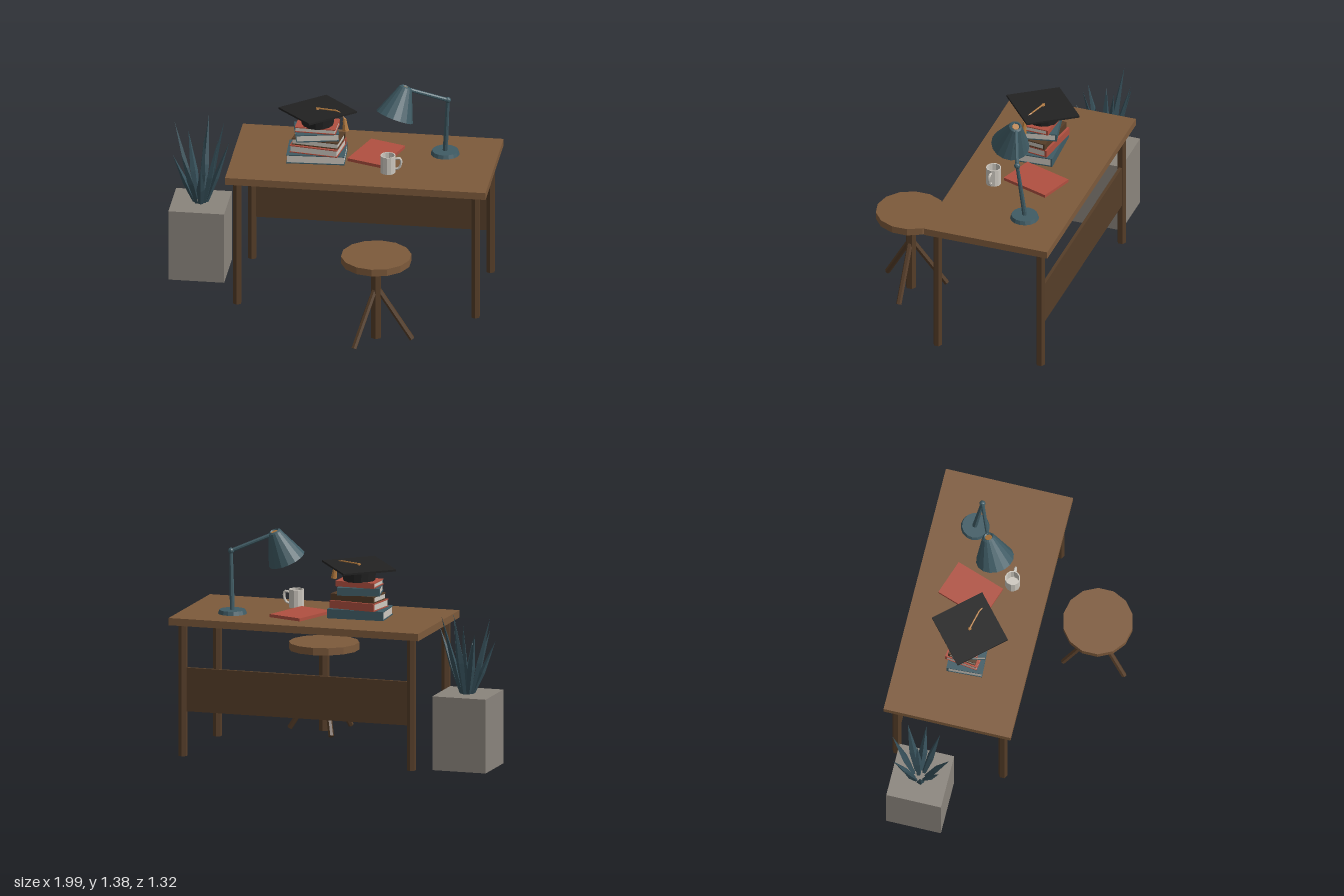
import * as THREE from 'three';

const V = (x, y, z) => new THREE.Vector3(x, y, z);
const UP = V(0, 1, 0);

export function createModel() {
  const root = new THREE.Group();
  const mat = (name, color) => {
    const m = new THREE.MeshStandardMaterial({ color });
    m.name = name;
    return m;
  };
  const wood = mat('wood', 0x7d5a3b);
  const darkWood = mat('dark wood', 0x553d28);
  const stone = mat('stone', 0x8a847c);
  const leafTeal = mat('leaf teal', 0x36505a);
  const teal = mat('teal', 0x3f5b64);
  const red = mat('red', 0xb05040);
  const black = mat('black', 0x222222);
  const paper = mat('paper', 0xcdc8bf);
  const orange = mat('orange', 0xb27a3f);

  // Facets a geometry and adds it as a named mesh
  const add = (name, geo, material, parent = root) => {
    const g = geo.index ? geo.toNonIndexed() : geo;
    g.computeVertexNormals();
    const mesh = new THREE.Mesh(g, material);
    mesh.name = name;
    parent.add(mesh);
    return mesh;
  };
  const group = (name, x = 0, y = 0, z = 0, parent = root) => {
    const g = new THREE.Group();
    g.name = name;
    g.position.set(x, y, z);
    parent.add(g);
    return g;
  };
  const box = (name, w, h, d, x, y, z, material, parent) => {
    const m = add(name, new THREE.BoxGeometry(w, h, d), material, parent);
    m.position.set(x, y, z);
    return m;
  };
  // Tapered rod between two points
  const rod = (name, a, b, rA, rB, sides, material, parent) => {
    const d = b.clone().sub(a);
    const m = add(name, new THREE.CylinderGeometry(rB, rA, d.length(), sides), material, parent);
    m.position.copy(a).addScaledVector(d, 0.5);
    m.quaternion.setFromUnitVectors(UP, d.normalize());
    return m;
  };
  const lathe = (pts, sides) =>
    new THREE.LatheGeometry(pts.map(([x, y]) => new THREE.Vector2(x, y)), sides);

  // Desk
  const desk = group('desk');
  box('deskTop', 1.6, 0.045, 0.795, 0.2, 0.85, -0.262, wood, desk);
  for (const x of [-0.533, 0.93])
    for (const z of [0.072, -0.592])
      rod('deskLeg', V(x, 0.012, z), V(x, 0.83, z), 0.028, 0.028, 6, darkWood, desk);
  box('backPanel', 1.44, 0.27, 0.02, 0.198, 0.425, -0.592, darkWood, desk);

  // Stool
  const stool = group('stool', 0.372, 0, 0.445);
  rod('stoolSeat', V(0, 0.515, 0), V(0, 0.56, 0), 0.215, 0.215, 14, wood, stool);
  rod('stoolPost', V(0, 0.012, 0), V(0, 0.516, 0), 0.033, 0.033, 6, darkWood, stool);
  for (let i = 0; i < 3; i++) {
    const a = (i * Math.PI * 2) / 3, c = Math.cos(a), s = Math.sin(a);
    rod('stoolLeg', V(c * 0.012, 0.335, s * 0.012), V(c * 0.22, 0.014, s * 0.22), 0.017, 0.017, 6, darkWood, stool);
  }

  // Planter with spiky leaves
  box('planter', 0.342, 0.457, 0.342, -0.823, 0.24, -0.375, stone);
  const plant = group('plant', -0.82, 0.46, -0.38);
  const tips = [
    [-0.99, 0.96, -0.445], [-0.985, 0.79, -0.33], [-0.795, 0.965, -0.555],
    [-0.645, 0.87, -0.38], [-0.795, 0.765, -0.2], [-0.92, 0.84, -0.235],
    [-0.70, 0.93, -0.28], [-0.69, 0.96, -0.485], [-0.915, 0.87, -0.52], [-0.80, 0.9, -0.40],
  ];
  for (const t of tips) {
    const tip = V(...t).sub(plant.position);
    const base = V(tip.x * 0.2, 0, tip.z * 0.2);
    const dir = tip.clone().sub(base);
    const len = dir.length();
    dir.normalize();
    const side = V(dir.z, 0, -dir.x).normalize();
    const out = side.clone().cross(dir);
    const leaf = add('leaf', lathe([[0, 0], [0.014, 0], [0.026, len * 0.42], [0, len]], 4), leafTeal, plant);
    leaf.quaternion.setFromRotationMatrix(new THREE.Matrix4().makeBasis(side, dir, out));
    leaf.scale.z = 0.7;
    leaf.position.copy(base);
  }

  // Stack of books: width, depth, bottom, top, x, turn, cover
  const books = [
    [0.355, 0.22, 0.873, 0.93, -0.088, 0.05, teal],
    [0.30, 0.205, 0.93, 0.978, -0.082, -0.14, red],
    [0.29, 0.175, 0.978, 1.018, -0.078, -0.13, darkWood],
    [0.26, 0.2, 1.018, 1.066, -0.09, 0.21, teal],
    [0.25, 0.165, 1.066, 1.1, -0.085, -0.04, red],
  ];
  for (const [w, d, y0, y1, x, turn, cover] of books) {
    const h = y1 - y0, t = 0.006;
    const book = group('book', x, y0, -0.245);
    book.rotation.y = turn;
    box('lowerCover', w, t, d, 0, t / 2, 0, cover, book);
    box('upperCover', w, t, d, 0, h - t / 2, 0, cover, book);
    box('spine', w, h - 2 * t, 0.012, 0, h / 2, -d / 2 + 0.006, cover, book);
    box('pages', w - 0.008, h - 2 * t, d - 0.016, 0, h / 2, 0.004, paper, book);
  }

  // Loose folder on the desk
  box('folder', 0.23, 0.019, 0.32, 0.265, 0.882, -0.325, red).rotation.y = -0.33;

  // Graduation cap with tassel
  const cap = group('cap', -0.083, 1.098, -0.245);
  rod('capBand', V(0, 0, 0), V(0, 0.085, 0), 0.098, 0.107, 14, black, cap);
  const tilt = group('capTilt', 0, 0.088, 0, cap);
  tilt.rotation.set(-0.055, 0, 0.04);
  box('capBoard', 0.345, 0.012, 0.345, 0, 0, 0, black, tilt).rotation.y = -0.862;
  rod('capButton', V(0, 0.005, 0), V(0, 0.014, 0), 0.012, 0.009, 8, orange, tilt);
  const cord = [V(-0.01, 0.012, -0.003), V(0.12, 0.011, 0.03), V(0.15, 0, 0.045), V(0.173, -0.035, 0.055)];
  for (let i = 0; i < 3; i++) rod('cord', cord[i], cord[i + 1], 0.005, 0.005, 6, orange, tilt);
  rod('tasselKnot', V(0.172, -0.05, 0.055), V(0.172, -0.03, 0.055), 0.013, 0.009, 8, orange, tilt);
  rod('tassel', V(0.177, -0.108, 0.056), V(0.172, -0.05, 0.055), 0.02, 0.012, 8, orange, tilt);

  // Mug with a handle
  const mug = group('mug', 0.37, 0.873, -0.088);
  add('mugBody', lathe([[0, 0], [0.047, 0], [0.047, 0.112], [0.04, 0.112], [0.04, 0.02], [0, 0.02]], 12), paper, mug);
  const grip = new THREE.CatmullRomCurve3([V(0.04, 0.09, 0), V(0.075, 0.094, 0), V(0.08, 0.06, 0), V(0.065, 0.03, 0), V(0.04, 0.022, 0)]);
  add('mugHandle', new THREE.TubeGeometry(grip, 12, 0.008, 6), paper, mug);

  // Desk lamp
  const lamp = group('lamp');
  const elbow = V(0.7, 1.252, -0.358), top = V(0.455, 1.365, -0.26), rim = V(0.395, 1.19, -0.205);
  rod('lampBase', V(0.678, 0.873, -0.398), V(0.678, 0.897, -0.398), 0.088, 0.08, 16, teal, lamp);
  rod('lampPost', V(0.678, 0.89, -0.4), elbow, 0.016, 0.011, 8, teal, lamp);
  add('elbow', new THREE.SphereGeometry(0.019, 10, 8), teal, lamp).position.copy(elbow);
  rod('lampArm', elbow, V(0.47, 1.35, -0.268), 0.012, 0.012, 8, teal, lamp);
  const axis = top.clone().sub(rim);
  const L = axis.length();
  axis.normalize();
  const shade = add('lampShade', lathe([[0.118, 0], [0.04, L], [0.028, L + 0.008], [0.022, L], [0.111, 0], [0.118, 0]], 16), teal, lamp);
  shade.position.copy(rim);
  shade.quaternion.setFromUnitVectors(UP, axis);
  const at = (k) => rim.clone().addScaledVector(axis, k);
  rod('bulbSocket', at(0.06), at(L + 0.002), 0.022, 0.022, 8, orange, lamp);
  add('bulb', new THREE.SphereGeometry(0.036, 10, 8), orange, lamp).position.copy(at(0.045));

  return root;
}
